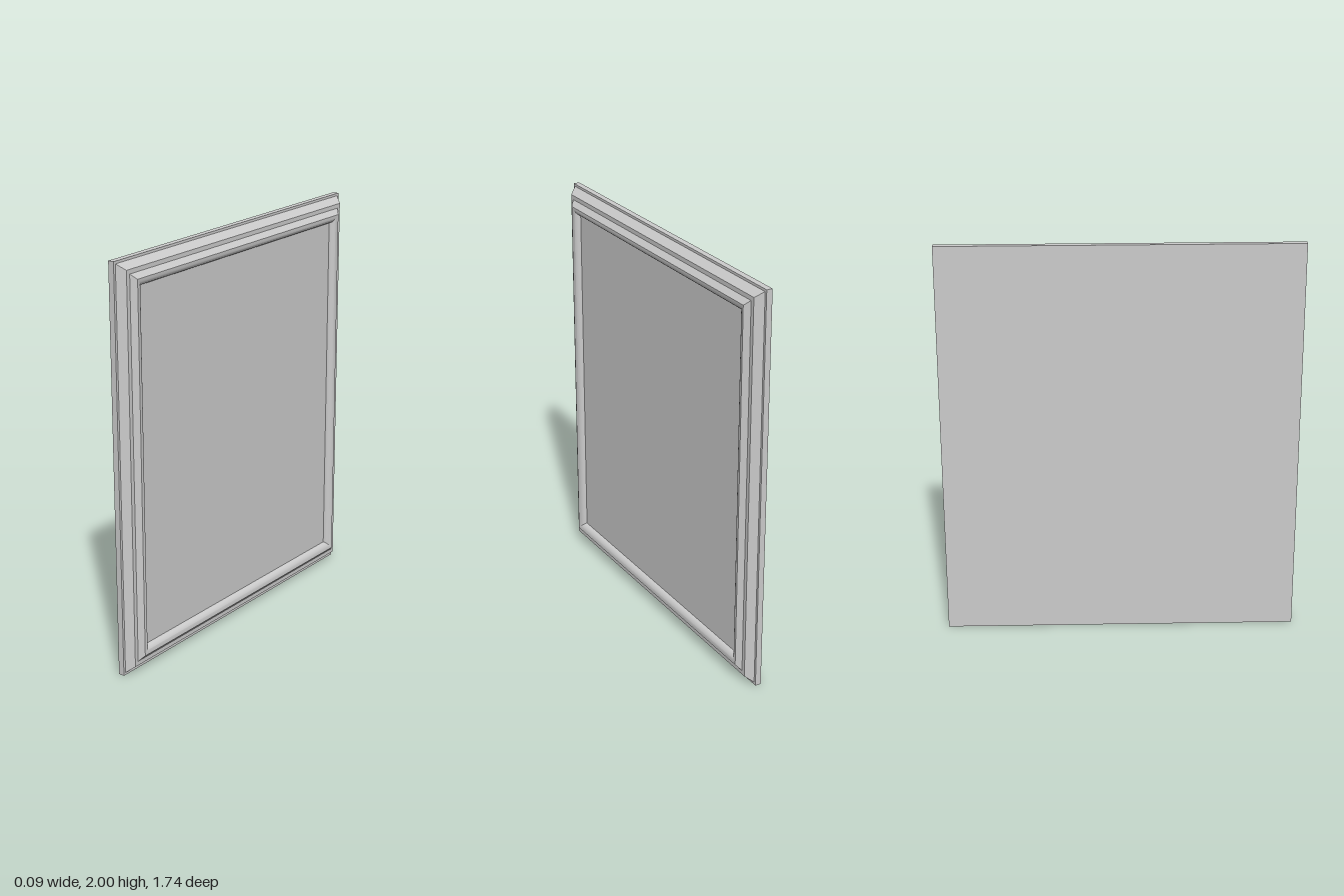
import * as THREE from 'three';
import { toCreasedNormals } from 'three/addons/utils/BufferGeometryUtils.js';

const HALF_W = 0.87, HEIGHT = 2;
const material = new THREE.MeshStandardMaterial({ color: 0xcccccc });

function box(name, x0, x1, inset) {
  const geo = new THREE.BoxGeometry(x1 - x0, HEIGHT - 2 * inset, 2 * (HALF_W - inset));
  const mesh = new THREE.Mesh(geo, material);
  mesh.name = name;
  mesh.position.set((x0 + x1) / 2, HEIGHT / 2, 0);
  return mesh;
}

// Sweeps a profile of [inset, x] points around the rectangle with mitred corners
function mitredFrame(name, profile) {
  const ring = ([d, x]) => {
    const w = HALF_W - d;
    return [[x, d, w], [x, d, -w], [x, HEIGHT - d, -w], [x, HEIGHT - d, w]];
  };
  const pos = [];
  for (let i = 0; i < profile.length - 1; i++) {
    const a = ring(profile[i]), b = ring(profile[i + 1]);
    for (let k = 0; k < 4; k++) {
      const n = (k + 1) % 4;
      pos.push(...a[k], ...a[n], ...b[n], ...a[k], ...b[n], ...b[k]);
    }
  }
  const geo = new THREE.BufferGeometry();
  geo.setAttribute('position', new THREE.Float32BufferAttribute(pos, 3));
  const mesh = new THREE.Mesh(toCreasedNormals(geo, Math.PI / 6), material);
  mesh.name = name;
  return mesh;
}

export function createModel() {
  const group = new THREE.Group();
  group.name = 'framedPanel';

  // Flat backing board and the raised field inside the frame
  group.add(box('backBoard', -0.045, -0.015, 0));
  group.add(box('centrePanel', -0.015, 0.016, 0.12));

  // Outer bevel with a flat step
  group.add(mitredFrame('outerMoulding', [[0.012, -0.015], [0.041, 0.022], [0.062, 0.022]]));

  // Inner bevel rising to a crest, then a rounded lip down to the panel
  const lip = [[0.062, 0.022]];
  for (let i = 0; i <= 6; i++) {
    const t = (i / 6) * Math.PI / 2;
    lip.push([0.087 + 0.039 * Math.sin(t), 0.016 + 0.029 * Math.cos(t)]);
  }
  group.add(mitredFrame('innerMoulding', lip));

  return group;
}
